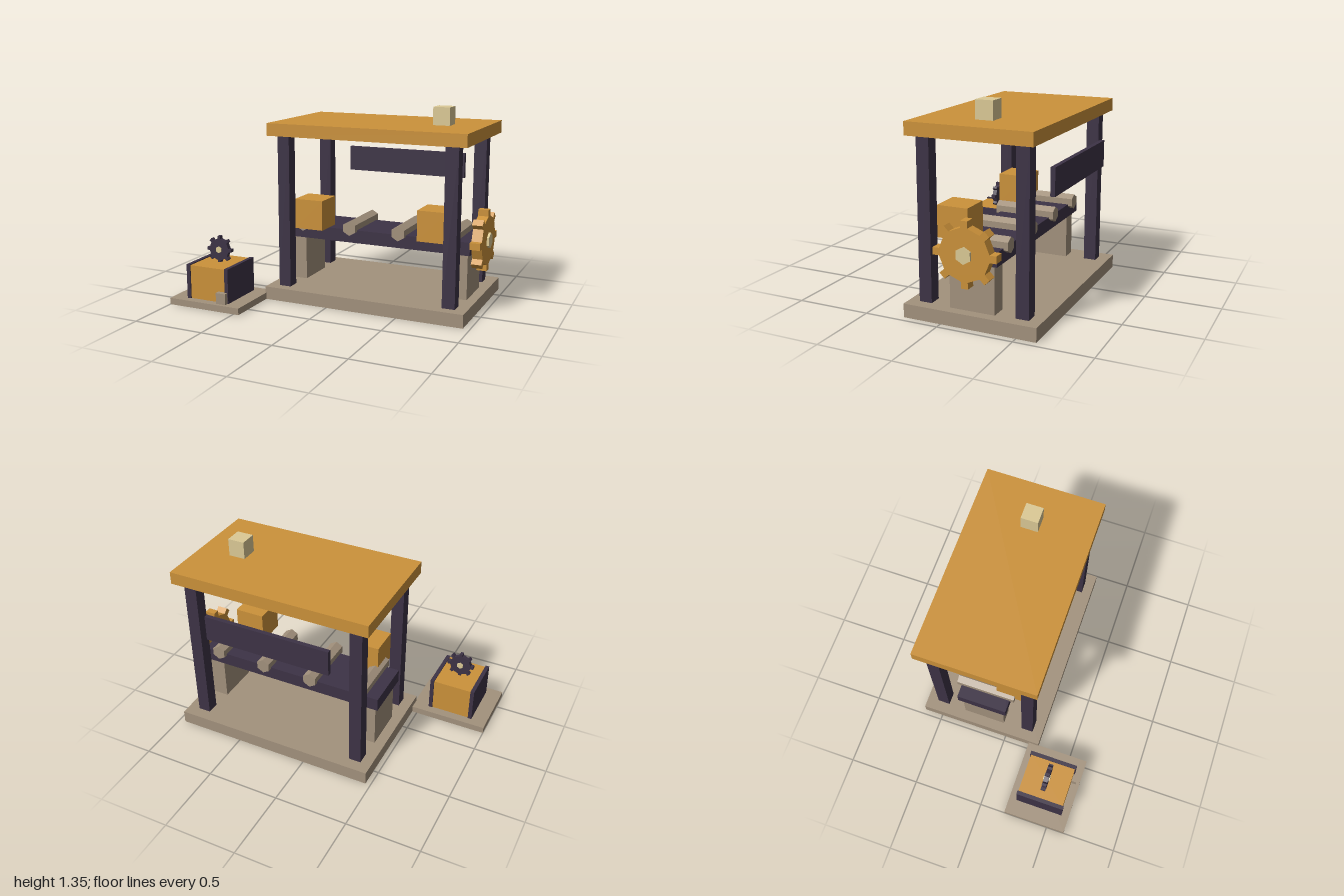
import * as THREE from 'three';

const paint = (color) => new THREE.MeshStandardMaterial({ color, flatShading: true });
const orange = paint(0xcc923a);
const dark = paint(0x3d3346);
const stone = paint(0xa3927d);
const pale = paint(0xdcca96);

export function createModel() {
  const model = new THREE.Group();

  // Box given by its extents along each axis
  function block(name, material, [x0, x1], [y0, y1], [z0, z1]) {
    const mesh = new THREE.Mesh(new THREE.BoxGeometry(x1 - x0, y1 - y0, z1 - z0), material);
    mesh.position.set((x0 + x1) / 2, (y0 + y1) / 2, (z0 + z1) / 2);
    mesh.name = name;
    model.add(mesh);
  }

  // Six-sided bar along z, with a corner pointing up
  function hexBar(name, material, radius, length) {
    const geometry = new THREE.CylinderGeometry(radius, radius, length, 6).rotateX(Math.PI / 2);
    const mesh = new THREE.Mesh(geometry, material);
    mesh.name = name;
    return mesh;
  }

  // Eight-toothed wheel on an octagonal body, facing z, with a hexagonal hub
  function gear(name, material) {
    const group = new THREE.Group();
    group.name = name;
    const half = 0.023, root = 0.165, tip = 0.208, depth = 0.07;
    const points = [];
    for (let i = 0; i < 8; i++) {
      for (const [r, t] of [[root, -half], [tip, -half], [tip, half], [root, half]]) {
        points.push(new THREE.Vector2(r, t).rotateAround(new THREE.Vector2(), i * Math.PI / 4));
      }
    }
    const geometry = new THREE.ExtrudeGeometry(new THREE.Shape(points), { depth, bevelEnabled: false });
    const wheel = new THREE.Mesh(geometry.translate(0, 0, -depth / 2), material);
    wheel.name = 'toothedWheel';
    group.add(wheel, hexBar('hub', pale, 0.053, 0.1));
    model.add(group);
    return group;
  }

  // Main frame: floor, four posts, roof
  block('floorSlab', stone, [-0.465, 0.955], [0, 0.09], [-0.63, 0.255]);
  for (const x of [[-0.39, -0.305], [0.79, 0.877]]) {
    for (const z of [[0.1, 0.185], [-0.55, -0.465]]) block('post', dark, x, [0.09, 1.14], z);
  }
  block('roof', orange, [-0.45, 0.94], [1.14, 1.225], [-0.597, 0.228]);
  block('roofVent', pale, [0.6, 0.715], [1.225, 1.345], [-0.245, -0.127]);
  block('backPanel', dark, [-0.2, 0.685], [0.8, 0.977], [-0.627, -0.597]);

  // Conveyor on two pedestals, with rollers and crates
  block('conveyorBelt', dark, [-0.42, 0.91], [0.4, 0.49], [-0.36, -0.007]);
  for (const x of [[-0.395, -0.29], [0.78, 0.89]]) {
    block('pedestal', stone, x, [0.09, 0.4], [-0.335, -0.035]);
  }
  for (let i = 0; i < 4; i++) {
    const roller = hexBar('roller', stone, 0.051, 0.414);
    roller.position.set(-0.288 + i * 0.355, 0.505, -0.183);
    model.add(roller);
  }
  for (const x of [[-0.307, -0.1], [0.583, 0.79]]) {
    block('crate', orange, x, [0.49, 0.696], [-0.108, 0.1]);
  }

  // Drive gear on the end of the conveyor
  const driveGear = gear('driveGear', orange);
  driveGear.rotation.y = Math.PI / 2;
  driveGear.position.set(0.95, 0.474, -0.184);

  // Side machine on its own slab
  block('sideSlab', stone, [-1, -0.46], [0, 0.045], [0.182, 0.627]);
  block('motorBox', orange, [-0.87, -0.59], [0.045, 0.277], [0.243, 0.567]);
  for (const x of [[-0.892, -0.865], [-0.595, -0.568]]) {
    block('sidePlate', dark, x, [0.045, 0.283], [0.237, 0.575]);
  }
  block('switchBox', stone, [-0.647, -0.575], [0.045, 0.12], [0.535, 0.603]);

  const motorGear = gear('motorGear', dark);
  motorGear.scale.setScalar(0.455);
  motorGear.position.set(-0.729, 0.365, 0.405);

  return model;
}
